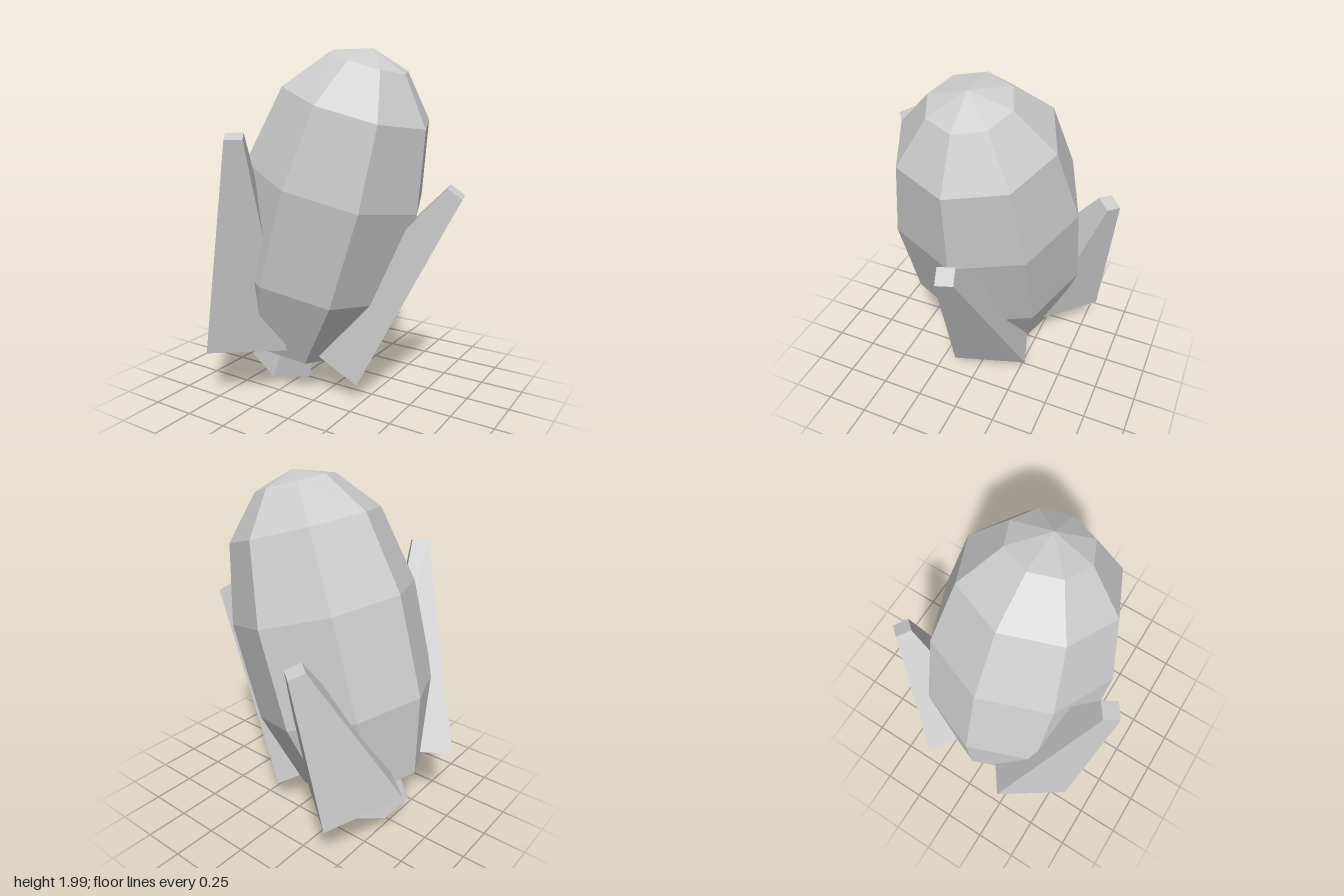
import * as THREE from 'three';

export function createModel() {
  const model = new THREE.Group();
  model.name = 'rocket';
  const grey = new THREE.MeshStandardMaterial({ color: 0xcccccc, flatShading: true });
  grey.name = 'light grey';

  const add = (parent, name, geometry) => {
    const mesh = new THREE.Mesh(geometry, grey);
    mesh.name = name;
    parent.add(mesh);
    return mesh;
  };

  // Leaning hull and nozzle share one tilted axis
  const core = new THREE.Group();
  core.name = 'core';
  core.position.set(-0.361, 0.113, 0);
  core.rotation.z = -0.3047;
  model.add(core);

  // Eight-sided hull with a flat base: [radius, height]
  const profile = [
    [0, 0.206], [0.37, 0.206], [0.517, 0.661], [0.53, 1.228],
    [0.43, 1.673], [0.226, 1.905], [0, 1.977],
  ].map(([r, h]) => new THREE.Vector2(r, h));
  add(core, 'hull', new THREE.LatheGeometry(profile, 8));

  // Five-sided nozzle, flaring downwards
  const nozzle = add(core, 'nozzle',
    new THREE.CylinderGeometry(0.168, 0.203, 0.3, 5).rotateY(Math.PI / 2));
  nozzle.position.set(-0.018, 0.1, 0);

  // Fin: square tapered post from base centre to top centre, edge = direction of one base side
  function fin(name, base, top, edge) {
    const b = new THREE.Vector3(...base);
    const axis = new THREE.Vector3(...top).sub(b);
    const length = axis.length();
    axis.normalize();
    const side = new THREE.Vector3(...edge);
    side.addScaledVector(axis, -side.dot(axis)).normalize();
    const depth = new THREE.Vector3().crossVectors(side, axis);
    const mesh = add(model, name, new THREE.CylinderGeometry(0.067, 0.322, length, 4)
      .rotateY(Math.PI / 4).translate(0, length / 2, 0));
    mesh.quaternion.setFromRotationMatrix(new THREE.Matrix4().makeBasis(side, axis, depth));
    mesh.position.copy(b);
  }
  fin('leftFin', [-0.009, 0.265, -0.033], [0.7, 1.255, -0.085], [-0.1, 0.05, -0.44]);
  fin('frontFin', [-0.437, 0.39, 0.29], [-0.226, 1.555, 0.612], [0.255, -0.14, 0.35]);
  fin('backFin', [-0.429, 0.397, -0.293], [-0.322, 1.19, -0.62], [0.27, -0.167, -0.325]);

  return model;
}
